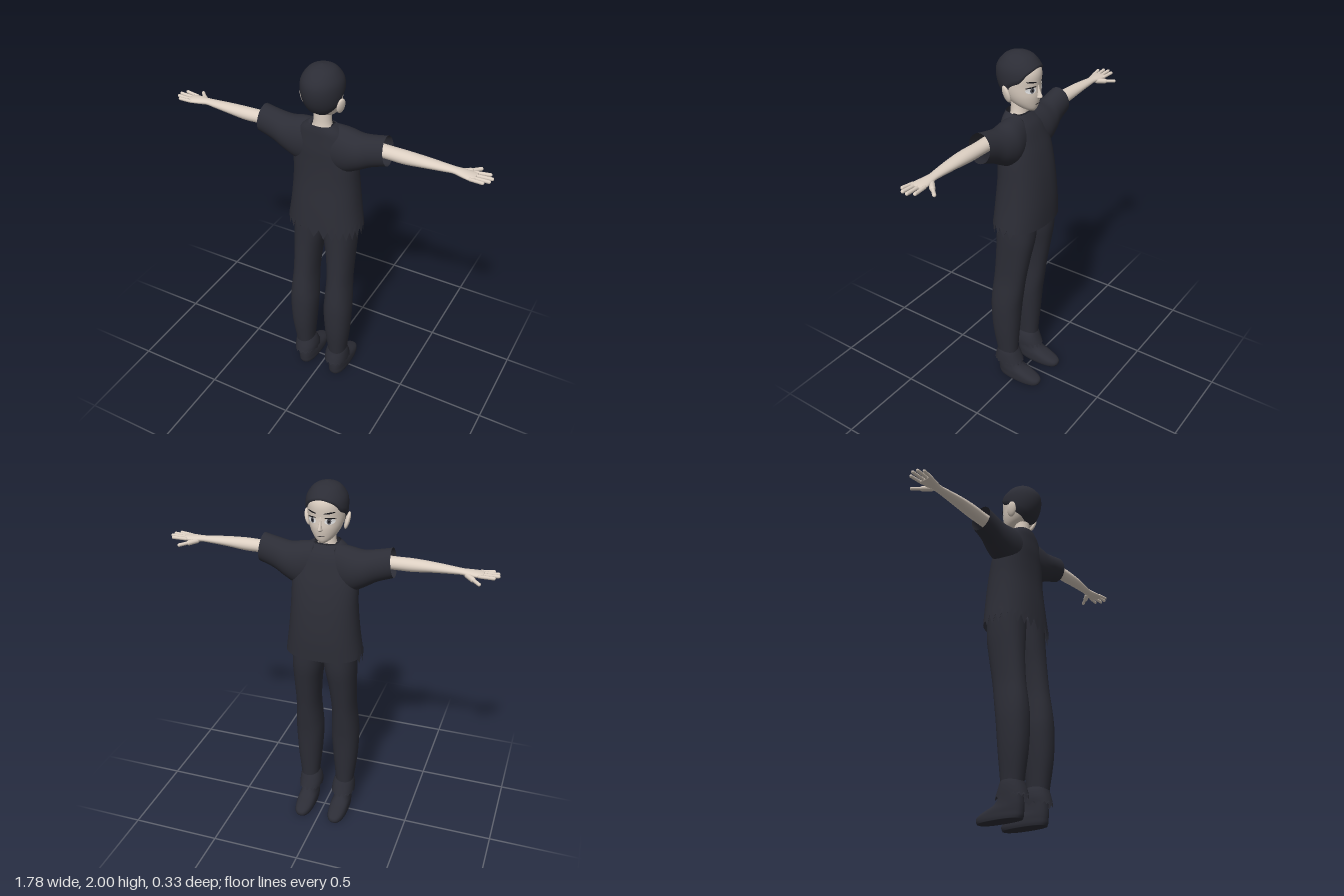
import * as THREE from 'three';

const mat = (name, color) => {
  const m = new THREE.MeshStandardMaterial({ color, side: THREE.DoubleSide });
  m.name = name;
  return m;
};

// Smooth a list of rows with a Catmull-Rom spline on every column.
function smooth(rows, n = 4) {
  const out = [], at = i => rows[Math.max(0, Math.min(rows.length - 1, i))];
  for (let i = 0; i < rows.length - 1; i++)
    for (let k = 0; k < n; k++) {
      const t = k / n;
      out.push(rows[i].map((b, c) => {
        const a = at(i - 1)[c], d = at(i + 1)[c], e = at(i + 2)[c];
        return b + 0.5 * t * (d - a + t * (2 * a - 5 * b + 4 * d - e + t * (3 * (b - d) + e - a)));
      }));
    }
  out.push(rows[rows.length - 1]);
  return out;
}

// Linear lookup in rows sorted by their first column.
function lookup(rows, v) {
  let i = 0;
  while (i < rows.length - 2 && rows[i + 1][0] < v) i++;
  const t = THREE.MathUtils.clamp((v - rows[i][0]) / (rows[i + 1][0] - rows[i][0]), 0, 1);
  return rows[i].map((a, c) => a + (rows[i + 1][c] - a) * t);
}

// Indexed skin over a stack of closed rings, with optional end caps.
function skin(rings, capStart, capEnd) {
  const seg = rings[0].length, pos = rings.flat(2), idx = [];
  for (let r = 0; r < rings.length - 1; r++)
    for (let i = 0; i < seg; i++) {
      const a = r * seg + i, b = r * seg + (i + 1) % seg;
      idx.push(a, a + seg, b, b, a + seg, b + seg);
    }
  const cap = (r, end) => {
    const c = pos.length / 3, ring = rings[r];
    pos.push(...[0, 1, 2].map(k => ring.reduce((s, p) => s + p[k], 0) / seg));
    for (let i = 0; i < seg; i++) {
      const a = r * seg + i, b = r * seg + (i + 1) % seg;
      idx.push(c, ...(end ? [b, a] : [a, b]));
    }
  };
  if (capStart) cap(0, false);
  if (capEnd) cap(rings.length - 1, true);
  const g = new THREE.BufferGeometry();
  g.setAttribute('position', new THREE.Float32BufferAttribute(pos, 3));
  g.setIndex(idx);
  g.computeVertexNormals();
  return g;
}

// Loft along y: rows [y, xMin, xMax, zMin, zMax]; along x: rows [x, yMin, yMax, zMin, zMax].
function loft(rows, { axis = 'y', seg = 32, power = 2, start = true, end = true, tweak } = {}) {
  const list = smooth(rows);
  const rings = list.map((r, ri) => Array.from({ length: seg }, (_, i) => {
    const a = i / seg * Math.PI * 2, c = Math.cos(a), s = Math.sin(a);
    const u = Math.sign(c) * Math.abs(c) ** (2 / power), v = Math.sign(s) * Math.abs(s) ** (2 / power);
    const mid = (lo, hi, w) => (lo + hi) / 2 + (hi - lo) / 2 * w;
    const p = axis === 'y' ? [mid(r[1], r[2], u), r[0], mid(r[3], r[4], v)]
      : [r[0], mid(r[1], r[2], v), mid(r[3], r[4], u)];
    if (tweak) tweak(p, ri, list.length - 1, i, s);
    return p;
  }));
  return skin(rings, start, end);
}
const sym = rows => rows.map(([y, r, f, b]) => [y, -r, r, f, b]);

// Head profile: y, half width, front z, back z
const HEAD = smooth([
  [1.704, 0.016, -0.048, -0.01], [1.72, 0.042, -0.058, 0.04], [1.75, 0.068, -0.066, 0.092],
  [1.79, 0.086, -0.072, 0.128], [1.84, 0.097, -0.07, 0.15], [1.89, 0.1, -0.074, 0.158],
  [1.93, 0.093, -0.064, 0.15], [1.97, 0.066, -0.03, 0.117], [1.987, 0.036, 0.005, 0.085],
  [1.994, 0, 0.045, 0.045]]);
const faceZ = (x, y) => {
  const [, r, f, b] = lookup(HEAD, y), c = (f + b) / 2;
  return c - (c - f) * Math.sqrt(Math.max(0, 1 - (x / r) ** 2));
};

// Hair shell that follows the skull down to a hairline varying around the head.
function hairGeometry() {
  const line = [[-1, 1.93], [-0.75, 1.905], [-0.5, 1.865], [-0.2, 1.85], [0, 1.835],
    [0.25, 1.795], [0.65, 1.77], [1, 1.742]];
  const rings = [];
  for (let k = 0; k <= 16; k++) {
    const t = k / 16, off = t === 0 ? 0.001 : 0.008 * (1 - t ** 6);
    rings.push(Array.from({ length: 64 }, (_, i) => {
      const a = i / 64 * Math.PI * 2, c = Math.cos(a), s = Math.sin(a);
      const low = lookup(line, s)[1], y = low + (1.994 - low) * Math.sin(t * Math.PI / 2);
      const [, r, f, b] = lookup(HEAD, y);
      return [(r + off) * c, y + 0.006 * t * t, (f + b) / 2 + ((b - f) / 2 + off) * s];
    }));
  }
  return skin(rings, false, true);
}

export function createModel() {
  const model = new THREE.Group();
  const M = {
    skin: mat('skin', 0xdccfc2), cloth: mat('dark cloth', 0x2c2d36),
    white: mat('eye white', 0xf4f4f4), iris: mat('iris grey', 0x55555c), ink: mat('ink black', 0x17171c),
  };
  const add = (parent, name, geo, m) => {
    const mesh = new THREE.Mesh(geo, m);
    mesh.name = name;
    parent.add(mesh);
    return mesh;
  };

  // Head, neck and hair; the face looks toward -z
  const head = new THREE.Group();
  head.name = 'head';
  model.add(head);
  add(head, 'skull', loft(sym(HEAD.filter((_, i) => i % 2 === 0)), { seg: 48 }), M.skin);
  add(head, 'hair', hairGeometry(), M.cloth);
  add(head, 'neck', loft(sym([[1.6, 0.085, -0.03, 0.1], [1.65, 0.064, -0.008, 0.096],
    [1.69, 0.048, 0, 0.088], [1.77, 0.046, 0, 0.09]])), M.skin);
  add(head, 'nose', loft(sym([[1.772, 0.005, -0.074, -0.06], [1.782, 0.013, -0.092, -0.05],
    [1.792, 0.01, -0.092, -0.05], [1.82, 0.007, -0.078, -0.05], [1.85, 0.006, -0.07, -0.05]]), { seg: 16 }), M.skin);

  // Thin painted details wrapped on the face
  const patch = (name, x, y, w, h, off, m, tilt = 0) => {
    const g = new THREE.CircleGeometry(1, 24).scale(w, h, 1).rotateZ(tilt).translate(x, y, 0);
    const p = g.attributes.position;
    for (let i = 0; i < p.count; i++) p.setZ(i, faceZ(p.getX(i), p.getY(i)) - off);
    g.computeVertexNormals();
    add(head, name, g, m);
  };
  patch('mouth', 0, 1.746, 0.02, 0.002, 0.003, M.ink);
  for (const s of [-1, 1]) {
    patch('eyeWhite', s * 0.046, 1.826, 0.024, 0.016, 0.003, M.white);
    patch('iris', s * 0.043, 1.826, 0.01, 0.014, 0.0045, M.iris);
    patch('pupil', s * 0.043, 1.826, 0.005, 0.007, 0.006, M.ink);
    patch('upperLid', s * 0.047, 1.842, 0.026, 0.0035, 0.005, M.ink, -s * 0.1);
    patch('eyebrow', s * 0.045, 1.869, 0.026, 0.004, 0.004, M.ink, s * 0.12);
    const ear = add(head, 'ear', new THREE.SphereGeometry(1, 20, 14), M.skin);
    ear.scale.set(0.013, 0.046, 0.026);
    ear.position.set(s * 0.104, 1.803, 0.05);
    ear.rotation.set(0.15, s * -0.35, s * -0.22);
  }

  // Loose shirt with a torn hem at the back and a dipped neckline
  add(model, 'shirtBody', loft(sym([[1.07, 0.212, -0.14, 0.15], [1.2, 0.194, -0.14, 0.14],
    [1.35, 0.181, -0.125, 0.125], [1.47, 0.177, -0.1, 0.12], [1.55, 0.165, -0.075, 0.12],
    [1.62, 0.14, -0.05, 0.115], [1.66, 0.11, -0.022, 0.112], [1.69, 0.068, 0.003, 0.106]]), {
    seg: 56, power: 2.3, start: false, end: false,
    tweak: (p, r, last, i, s) => {
      if (r === 0 && s > -0.3) p[1] += i % 2 ? 0.02 : -0.035;
      if (r === last && s < 0) { p[1] += 0.025 * s; p[2] += 0.016 * s; }
    },
  }), M.cloth);

  // Arms and legs, built on the +x side and mirrored
  const limb = new THREE.Group();
  const finger = (name, from, to, r) => {
    const a = new THREE.Vector3(...from), b = new THREE.Vector3(...to), d = b.clone().sub(a);
    const m = add(limb, name, new THREE.CapsuleGeometry(r, d.length() - r, 6, 10), M.skin);
    m.position.copy(a).add(b).multiplyScalar(0.5);
    m.quaternion.setFromUnitVectors(new THREE.Vector3(0, 1, 0), d.normalize());
  };
  add(limb, 'sleeve', loft([[0.05, 1.42, 1.683, -0.05, 0.11], [0.13, 1.43, 1.674, -0.066, 0.114],
    [0.2, 1.465, 1.662, -0.058, 0.11], [0.27, 1.505, 1.672, -0.04, 0.102], [0.355, 1.535, 1.69, -0.032, 0.098]], {
    axis: 'x', end: false,
    tweak: (p, r, last) => { p[0] += (1.61 - p[1]) * 0.13 * r / last; },
  }), M.cloth);
  add(limb, 'arm', loft([[0.22, 1.575, 1.648, -0.004, 0.078], [0.35, 1.577, 1.644, -0.001, 0.076],
    [0.45, 1.577, 1.644, 0.001, 0.08], [0.55, 1.587, 1.639, 0.004, 0.076], [0.65, 1.594, 1.632, 0.009, 0.065],
    [0.7, 1.597, 1.628, 0.01, 0.06], [0.74, 1.594, 1.626, 0.004, 0.069], [0.785, 1.595, 1.622, 0, 0.08],
    [0.81, 1.6, 1.618, 0.003, 0.078]], { axis: 'x', seg: 24 }), M.skin);
  [[0.006, -0.004, 0.866], [0.03, 0.027, 0.885], [0.053, 0.056, 0.88], [0.072, 0.08, 0.856]].forEach(
    ([z0, z1, x]) => finger('finger', [0.785, 1.609, z0], [x, 1.613, z1], 0.009));
  finger('thumb', [0.725, 1.604, 0.02], [0.768, 1.598, -0.022], 0.014);
  finger('thumbTip', [0.755, 1.6, -0.01], [0.803, 1.596, -0.062], 0.0095);

  add(limb, 'trouserLeg', loft([[0.14, 0.055, 0.155, 0.0, 0.115], [0.2, 0.054, 0.16, -0.001, 0.125],
    [0.35, 0.04, 0.177, -0.012, 0.147], [0.5, 0.03, 0.184, -0.024, 0.153], [0.6, 0.034, 0.18, -0.038, 0.148],
    [0.72, 0.038, 0.172, -0.056, 0.133], [0.87, 0.026, 0.174, -0.083, 0.121], [1, 0.004, 0.177, -0.105, 0.116],
    [1.14, -0.01, 0.172, -0.108, 0.114]], { power: 2.3 }), M.cloth);
  add(limb, 'trouserCuff', loft([[0.108, 0.036, 0.168, -0.034, 0.144], [0.14, 0.036, 0.167, -0.02, 0.136],
    [0.175, 0.044, 0.163, -0.006, 0.125], [0.2, 0.056, 0.156, 0.004, 0.118]], {
    start: false, power: 2.3, tweak: (p, r, last, i) => { if (r === 0) p[1] += i % 2 ? 0.012 : -0.01; },
  }), M.cloth);
  add(limb, 'shoe', loft([[0, 0.052, 0.152, -0.155, 0.112], [0.015, 0.048, 0.155, -0.162, 0.118],
    [0.035, 0.048, 0.155, -0.155, 0.12], [0.055, 0.05, 0.154, -0.112, 0.121], [0.085, 0.056, 0.15, -0.04, 0.12],
    [0.15, 0.06, 0.147, 0.0, 0.112]], { power: 2.5 }), M.cloth);

  limb.name = 'leftLimbs';
  const mirrored = limb.clone();
  mirrored.name = 'rightLimbs';
  mirrored.scale.x = -1;
  model.add(limb, mirrored);
  return model;
}
